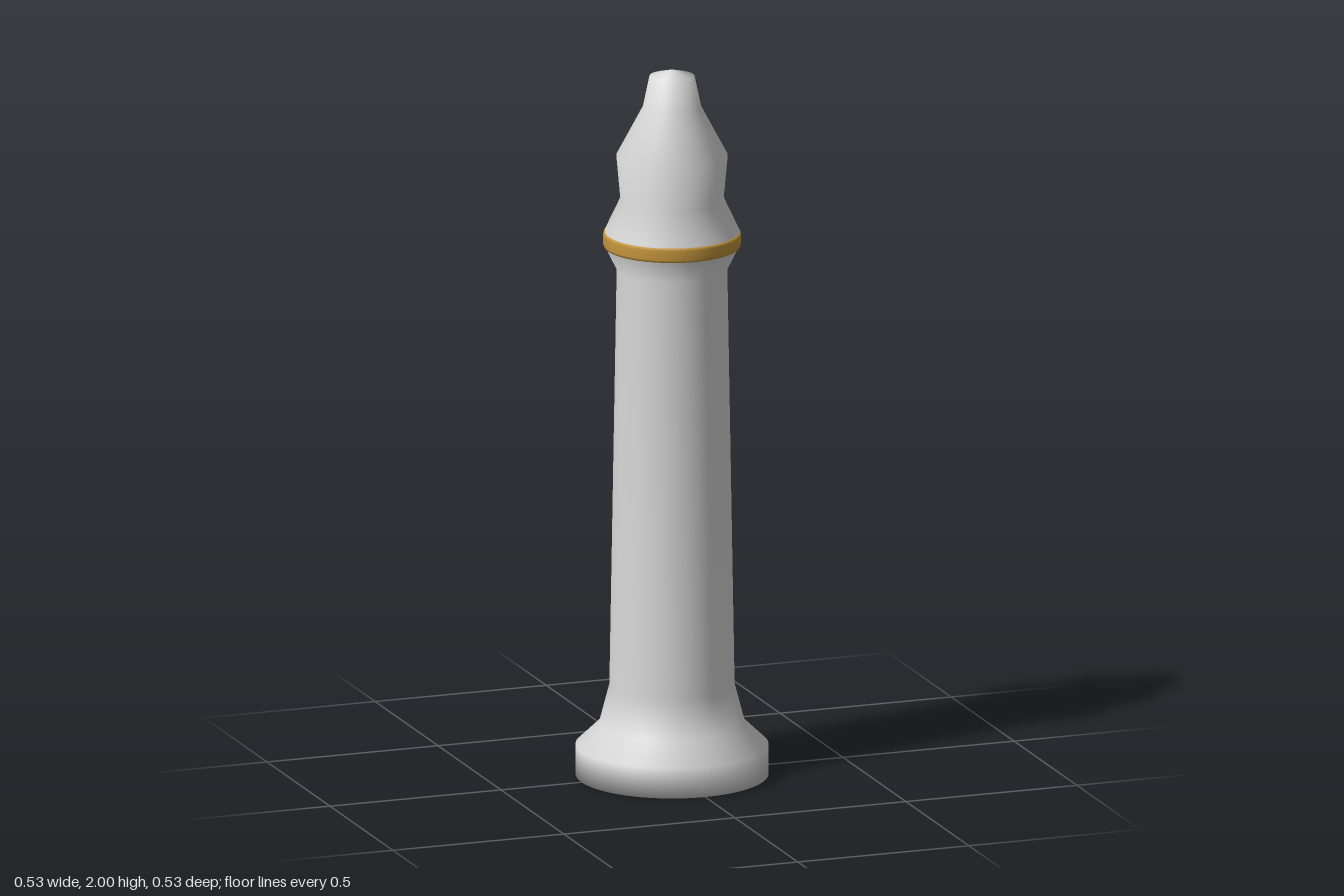
import * as THREE from 'three';

const SEGMENTS = 64;

// Revolve a list of [radius, height] points, listed from bottom to top
function turned(name, profile, material) {
  const points = profile.map(([r, y]) => new THREE.Vector2(r, y));
  const mesh = new THREE.Mesh(new THREE.LatheGeometry(points, SEGMENTS), material);
  mesh.name = name;
  return mesh;
}

export function createModel() {
  const stone = new THREE.MeshStandardMaterial({ color: 0xd8d8d8 });
  stone.name = 'pale grey';
  const gold = new THREE.MeshStandardMaterial({ color: 0xc4953c });
  gold.name = 'gold';

  const model = new THREE.Group();
  model.name = 'turnedColumn';

  // Foot, tapered shaft, collar and pointed head in one smooth turning
  model.add(turned('body', [
    [0, 0], [0.265, 0], [0.265, 0.085],  // foot
    [0.2, 0.147], [0.172, 0.255],        // flare into the shaft
    [0.152, 1.435],                      // top of the shaft
    [0.184, 1.5], [0.184, 1.545],        // collar
    [0.142, 1.635], [0.153, 1.757],      // neck and shoulder
    [0.08, 1.895], [0.062, 1.982], [0, 2], // tip
  ], stone));

  // Thin band around the collar
  model.add(turned('collarBand', [
    [0.18, 1.5], [0.187, 1.5], [0.189, 1.507],
    [0.189, 1.533], [0.187, 1.54], [0.18, 1.54],
  ], gold));

  return model;
}
